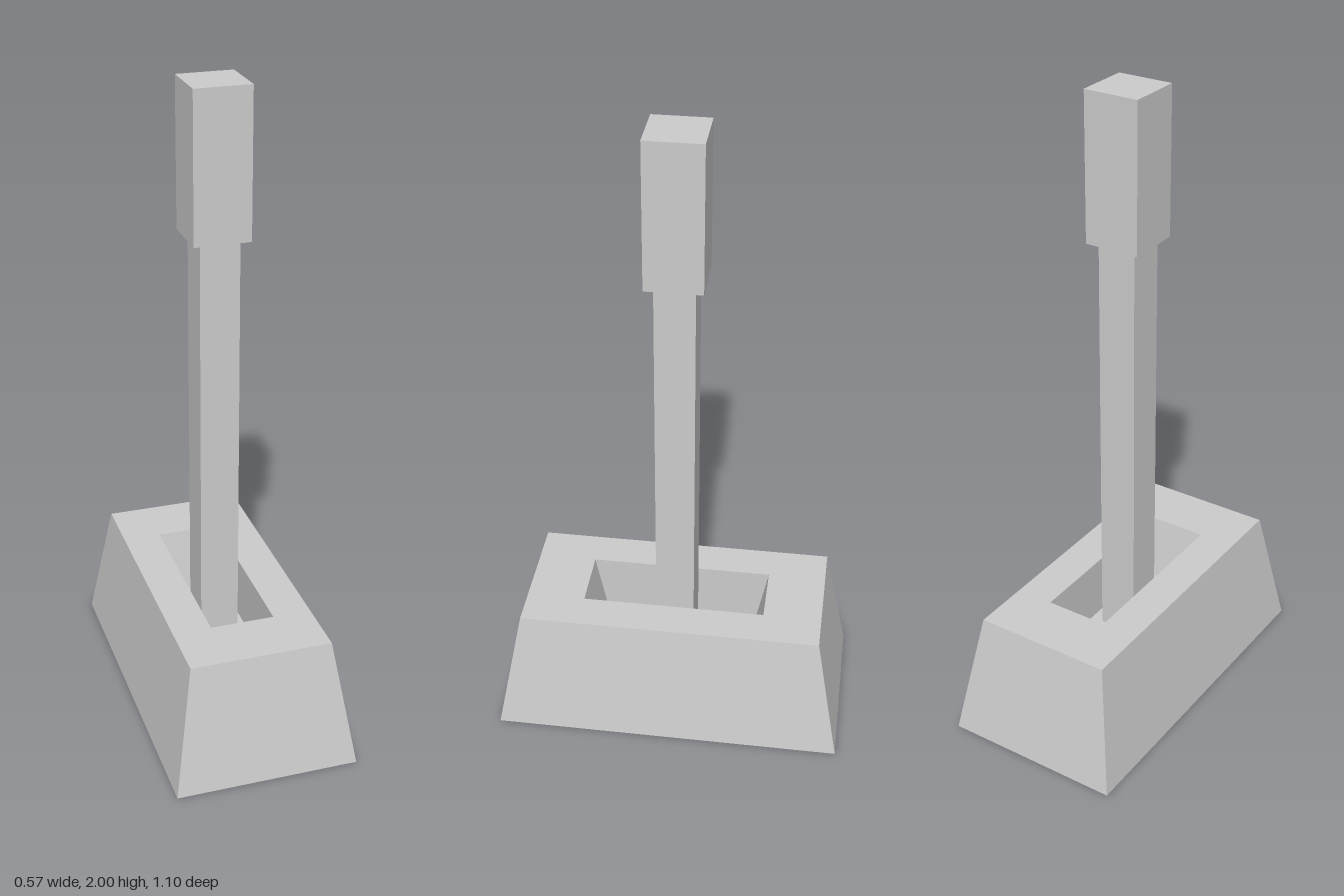
import * as THREE from 'three';

const material = new THREE.MeshStandardMaterial({ color: 0xcccccc, flatShading: true });

// Skin a run of rectangular rings [halfX, y, halfZ]; a ring of zero size closes an end.
function rectLoft(rings) {
  const corners = ([x, y, z]) => [[-x, y, z], [x, y, z], [x, y, -z], [-x, y, -z]];
  const points = [];
  for (let i = 0; i < rings.length - 1; i++) {
    const lower = corners(rings[i]);
    const upper = corners(rings[i + 1]);
    for (let k = 0; k < 4; k++) {
      const n = (k + 1) % 4;
      if (rings[i][0] > 0) points.push(...lower[k], ...lower[n], ...upper[n]);
      if (rings[i + 1][0] > 0) points.push(...lower[k], ...upper[n], ...upper[k]);
    }
  }
  const geometry = new THREE.BufferGeometry();
  geometry.setAttribute('position', new THREE.Float32BufferAttribute(points, 3));
  geometry.computeVertexNormals();
  return geometry;
}

export function createModel() {
  const model = new THREE.Group();
  model.name = 'lever';

  const add = (name, geometry, y = 0) => {
    const mesh = new THREE.Mesh(geometry, material);
    mesh.name = name;
    mesh.position.y = y;
    model.add(mesh);
  };

  // Tapered base with a slot whose end walls slope inwards
  const floorY = 0.2;
  add('base', rectLoft([
    [0, 0, 0],
    [0.285, 0, 0.55],
    [0.22, 0.4, 0.475],
    [0.1, 0.4, 0.29],
    [0.1, floorY, 0.25],
    [0, floorY, 0],
  ]));

  // Square shaft rising from the slot floor
  const gripY = 1.545;
  add('shaft', new THREE.BoxGeometry(0.122, gripY - floorY, 0.122), (gripY + floorY) / 2);

  // Square grip on top
  add('grip', new THREE.BoxGeometry(0.174, 2 - gripY, 0.174), (2 + gripY) / 2);

  return model;
}
